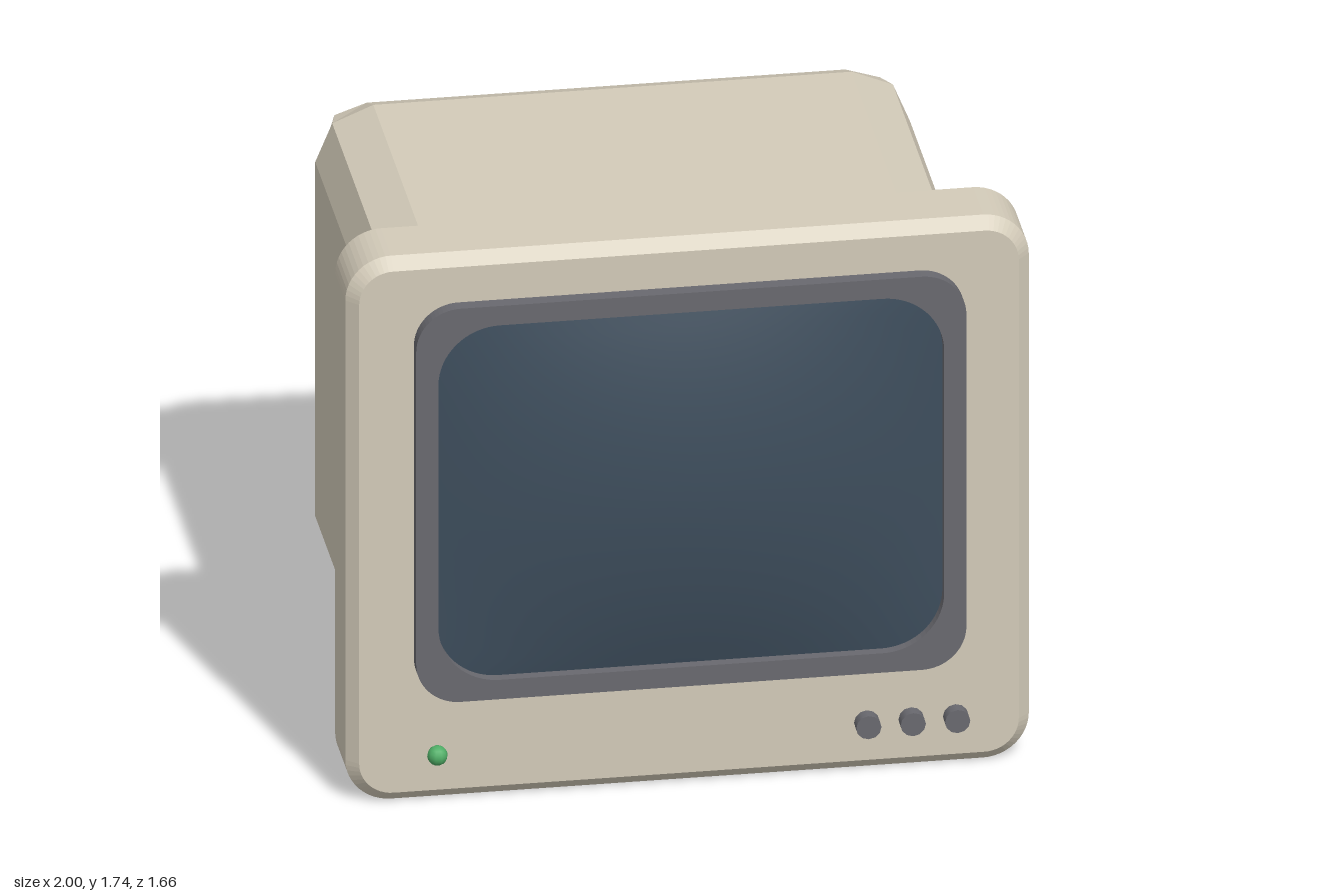
import * as THREE from 'three';
import { RoundedBoxGeometry } from 'three/addons/geometries/RoundedBoxGeometry.js';

const paint = (color, flatShading = false) => new THREE.MeshStandardMaterial({ color, flatShading });

// Rounded rectangle centred on (0, cy), drawn counter-clockwise.
function roundedRect(hw, hh, r, cy, PathType = THREE.Shape) {
  const p = new PathType();
  const q = Math.PI / 2;
  p.moveTo(hw, cy - hh + r);
  p.absarc(hw - r, cy + hh - r, r, 0, q);
  p.absarc(-hw + r, cy + hh - r, r, q, 2 * q);
  p.absarc(-hw + r, cy - hh + r, r, 2 * q, 3 * q);
  p.absarc(hw - r, cy - hh + r, r, 3 * q, 4 * q);
  p.closePath();
  return p;
}

// Bulging glass: shrinking copies of the outline, raised toward the middle.
function domeGeometry(hw, hh, r, edge, bulge, rings) {
  const outline = roundedRect(hw, hh, r, 0).getSpacedPoints(80).slice(0, -1);
  const n = outline.length;
  const pos = [];
  const index = [];
  for (let k = 0; k < rings; k++) {
    const s = 1 - k / rings;
    for (const p of outline) {
      const u = (p.x * s) / hw, v = (p.y * s) / hh;
      pos.push(p.x * s, p.y * s, edge + bulge * (1 - u * u) * (1 - v * v));
    }
  }
  const centre = pos.length / 3;
  pos.push(0, 0, edge + bulge);
  for (let k = 0; k < rings; k++) {
    for (let i = 0; i < n; i++) {
      const a = k * n + i, b = k * n + (i + 1) % n;
      if (k === rings - 1) index.push(a, b, centre);
      else index.push(a, b, b + n, a, b + n, a + n);
    }
  }
  const geo = new THREE.BufferGeometry();
  geo.setAttribute('position', new THREE.Float32BufferAttribute(pos, 3));
  geo.setIndex(index);
  geo.computeVertexNormals();
  return geo;
}

export function createModel() {
  const group = new THREE.Group();
  const beige = paint(0xd3cbb9);
  const grey = paint(0x69696f);

  function add(name, geometry, material, x = 0, y = 0, z = 0) {
    const mesh = new THREE.Mesh(geometry, material);
    mesh.name = name;
    mesh.position.set(x, y, z);
    group.add(mesh);
    return mesh;
  }

  // Rear housing with two-facet rounded edges
  add('rearHousing', new RoundedBoxGeometry(1.74, 1.475, 1.305, 1, 0.17),
    paint(0xd3cbb9, true), 0, 0.828, -0.178);

  // Front panel with chamfered rim
  const bevel = 0.035;
  add('frontPanel', new THREE.ExtrudeGeometry(roundedRect(1 - bevel, 0.87 - bevel, 0.1, 0.87), {
    depth: 0.185, bevelEnabled: true, bevelSize: bevel, bevelThickness: bevel,
    bevelSegments: 1, curveSegments: 6,
  }), beige, 0, 0, 0.515);

  // Screen surround
  const screenY = 0.962;
  const frame = roundedRect(0.805, 0.63, 0.13, screenY);
  frame.holes.push(roundedRect(0.74, 0.568, 0.18, screenY, THREE.Path));
  add('screenSurround', new THREE.ExtrudeGeometry(frame, {
    depth: 0.058, bevelEnabled: false, curveSegments: 8,
  }), grey, 0, 0, 0.72);

  // Curved glass
  add('screen', domeGeometry(0.742, 0.57, 0.18, 0.745, 0.085, 10), paint(0x3d4d5c), 0, screenY, 0);

  // Control knobs
  const knobGeo = new THREE.CylinderGeometry(0.037, 0.037, 0.06, 12).rotateX(Math.PI / 2);
  for (const x of [0.52, 0.65, 0.78]) add('knob', knobGeo, grey, x, 0.157, 0.745);

  // Power light
  add('powerLight', new THREE.SphereGeometry(0.03, 10, 8), paint(0x4fae66), -0.74, 0.157, 0.76);

  return group;
}
